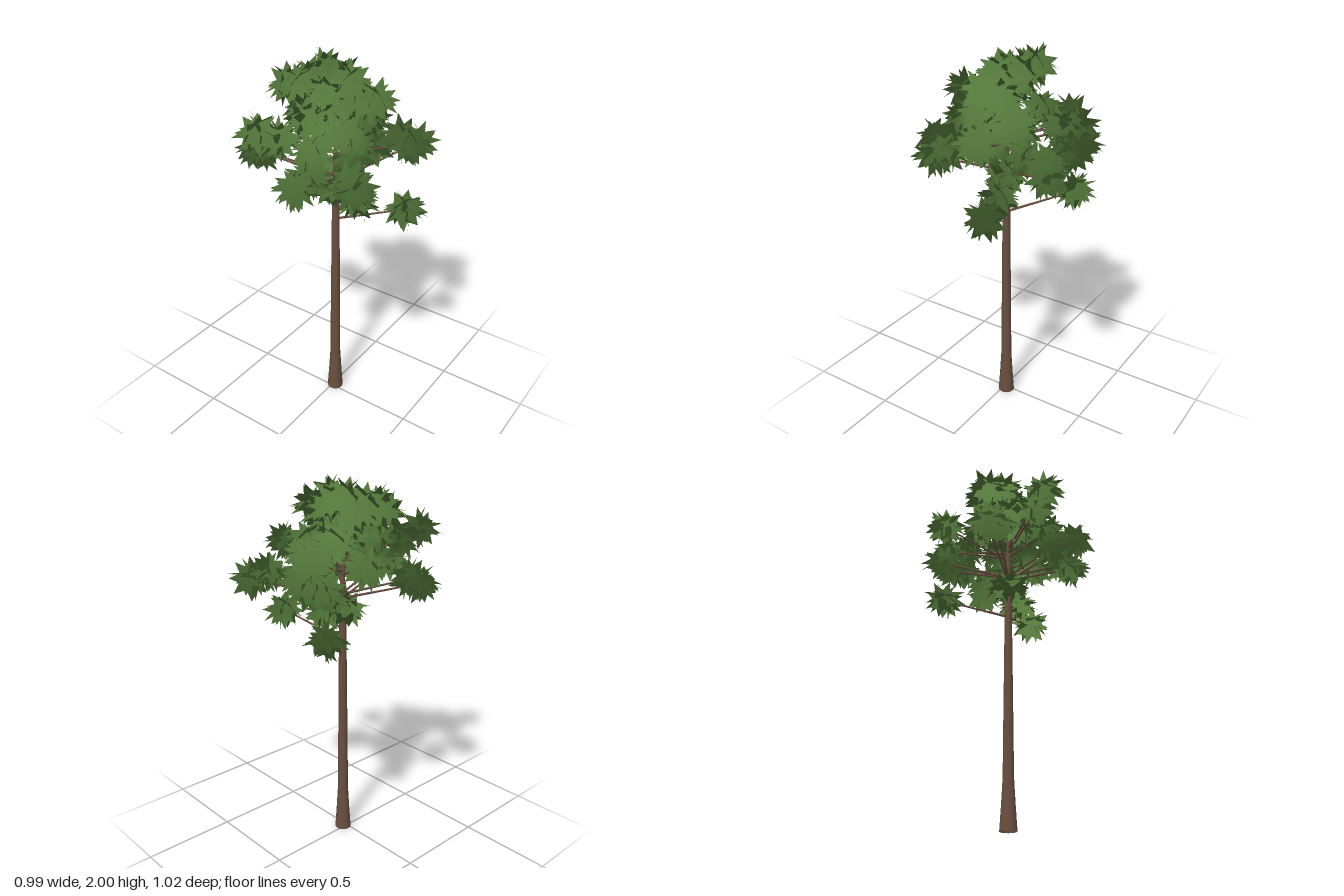
import * as THREE from 'three';
import { mergeGeometries } from 'three/addons/utils/BufferGeometryUtils.js';

const TRUNK_X = 0.013, TRUNK_Z = -0.02;
const CROWN = new THREE.Vector3(0, 1.52, -0.01);

// Leaf clusters: x, y, z of each centre, from the lowest tier to the crown
const TIERS = [
  [[0.36, 1.26, -0.13], [0.13, 1.27, -0.05], [0, 1.32, 0], [0.03, 1.36, -0.04], [-0.19, 1.26, -0.31]],
  [[-0.37, 1.5, 0.14], [-0.3, 1.51, 0.15], [0.07, 1.5, 0.39], [0.05, 1.5, 0.26], [0.23, 1.5, 0.18],
    [0.29, 1.49, 0.22], [0.26, 1.5, -0.41], [0.19, 1.54, -0.35], [-0.02, 1.52, -0.33],
    [-0.2, 1.51, -0.33], [-0.11, 1.5, -0.34], [0.12, 1.51, -0.2], [0.12, 1.52, 0]],
  [[0.38, 1.63, -0.1], [-0.33, 1.62, -0.19], [-0.12, 1.63, -0.35], [-0.03, 1.65, -0.3],
    [-0.16, 1.71, 0.36], [-0.11, 1.66, 0.27], [0.05, 1.62, 0.22], [0.04, 1.6, -0.12], [0.14, 1.61, 0]],
  [[0.12, 1.69, 0.07], [-0.1, 1.71, 0.09], [0.13, 1.68, -0.15], [-0.08, 1.7, -0.16],
    [0.02, 1.74, 0], [0.01, 1.66, 0.06]],
  [[0.23, 1.83, -0.03], [-0.23, 1.84, 0.03], [-0.14, 1.86, 0.07], [-0.11, 1.9, -0.11], [-0.15, 1.87, -0.03],
    [0.09, 1.89, -0.02], [0, 1.88, -0.1], [0.01, 1.84, 0.05], [0.12, 1.8, -0.06], [-0.07, 1.8, -0.02]],
];

function seeded(seed) {
  return () => {
    seed = (seed * 16807) % 2147483647;
    return seed / 2147483647;
  };
}

// Shallow star-shaped leaf fan, raised at its centre
function leafFan(points, radius, random) {
  const rim = [];
  for (let i = 0; i < points * 2; i++) {
    const tip = i % 2 === 0;
    const a = ((i + (random() - 0.5) * 0.5) / (points * 2)) * Math.PI * 2;
    const r = radius * (tip ? 0.84 + random() * 0.22 : 0.56);
    rim.push([Math.sin(a) * r, tip ? -0.015 : 0.005, Math.cos(a) * r]);
  }
  const pos = [];
  rim.forEach((p, i) => pos.push(0, 0.03, 0, ...p, ...rim[(i + 1) % rim.length]));
  const geo = new THREE.BufferGeometry();
  geo.setAttribute('position', new THREE.Float32BufferAttribute(pos, 3));
  return geo;
}

// Turn every blade to face away from the middle of the crown and give it
// normals pointing the same way, so the foliage shades as one soft mass
function faceOutward(geo) {
  const src = geo.attributes.position, pos = [], normals = [];
  const tri = new THREE.Triangle(), n = new THREE.Vector3(), out = new THREE.Vector3();
  for (let i = 0; i < src.count; i += 3) {
    tri.setFromAttributeAndIndices(src, i, i + 1, i + 2);
    tri.getNormal(n);
    tri.getMidpoint(out).sub(CROWN);
    const corners = n.dot(out) < 0 ? [tri.a, tri.c, tri.b] : [tri.a, tri.b, tri.c];
    corners.forEach((p) => {
      pos.push(p.x, p.y, p.z);
      n.copy(p).sub(CROWN).normalize();
      normals.push(n.x, n.y, n.z);
    });
  }
  geo.setAttribute('position', new THREE.Float32BufferAttribute(pos, 3));
  geo.setAttribute('normal', new THREE.Float32BufferAttribute(normals, 3));
  return geo;
}

// Two lying and three standing fans crossing at one centre make a spiky cluster
function leafCluster(centre, random) {
  const fans = [];
  const turn = random() * Math.PI;
  for (let i = 0; i < 5; i++) {
    const lying = i < 2;
    const fan = leafFan(8, lying ? 0.122 : 0.114, random);
    fan.rotateY(random() * Math.PI);
    fan.rotateX(lying ? 0.1 + random() * 0.4 : 1.1 + random() * 0.4);
    fan.rotateY(turn + (lying ? i * Math.PI : (i * Math.PI * 2) / 3));
    fans.push(fan);
  }
  return faceOutward(mergeGeometries(fans).translate(centre.x, centre.y, centre.z));
}

// Tapered branch between two points
function branchGeometry(from, to, r0, r1) {
  const dir = to.clone().sub(from);
  const geo = new THREE.CylinderGeometry(r1, r0, dir.length(), 6);
  geo.applyQuaternion(new THREE.Quaternion().setFromUnitVectors(new THREE.Vector3(0, 1, 0), dir.normalize()));
  const mid = from.clone().add(to).multiplyScalar(0.5);
  return geo.translate(mid.x, mid.y, mid.z);
}

export function createModel() {
  const tree = new THREE.Group();
  tree.name = 'tree';
  const bark = new THREE.MeshStandardMaterial({ color: 0x694f40, side: THREE.DoubleSide });
  bark.name = 'bark brown';
  const leaf = new THREE.MeshStandardMaterial({ color: 0x52763a, side: THREE.DoubleSide });
  leaf.name = 'leaf green';
  const random = seeded(4217);

  // Trunk, flared at its open foot
  const profile = [[0.045, 0], [0.037, 0.12], [0.029, 0.26], [0.027, 0.5],
    [0.023, 0.9], [0.02, 1.2], [0.013, 1.5], [0.006, 1.82], [0, 1.83]];
  const trunk = new THREE.Mesh(
    new THREE.LatheGeometry(profile.map(([r, y]) => new THREE.Vector2(r, y)), 14), bark);
  trunk.name = 'trunk';
  trunk.position.set(TRUNK_X, 0, TRUNK_Z);
  tree.add(trunk);

  // One branch and one leaf cluster for every centre
  TIERS.forEach((tier, t) => tier.forEach(([x, y, z], i) => {
    const end = new THREE.Vector3(x, y, z);
    const reach = Math.hypot(x - TRUNK_X, z - TRUNK_Z);
    const start = new THREE.Vector3(TRUNK_X, y - 0.04 - reach * 0.2, TRUNK_Z);
    const branch = new THREE.Mesh(branchGeometry(start, end, 0.007, 0.004), bark);
    branch.name = `branch ${t + 1}-${i + 1}`;
    const cluster = new THREE.Mesh(leafCluster(end, random), leaf);
    cluster.name = `leafCluster ${t + 1}-${i + 1}`;
    tree.add(branch, cluster);
  }));

  return tree;
}
